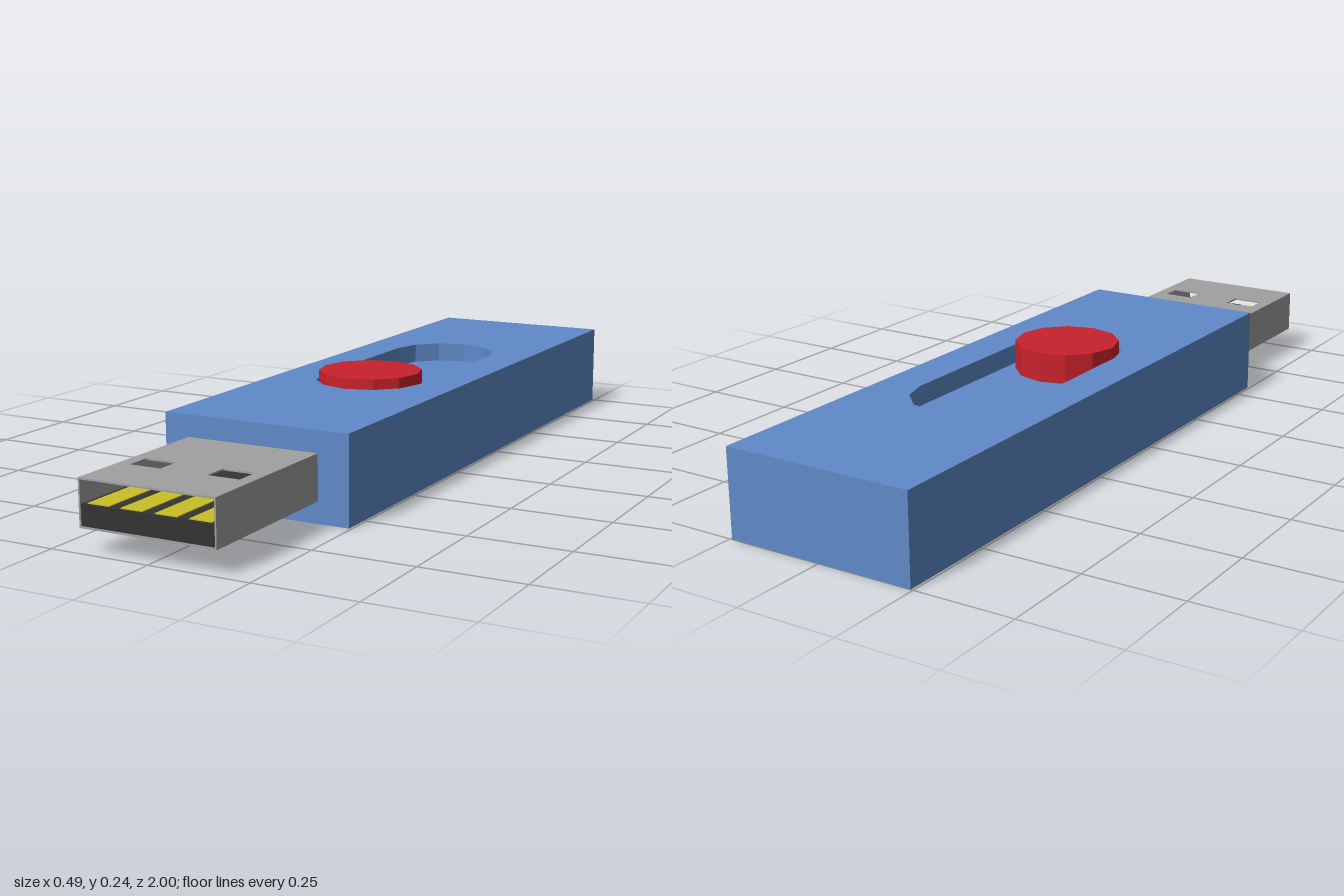
import * as THREE from 'three';
import { mergeGeometries } from 'three/addons/utils/BufferGeometryUtils.js';

const material = (name, color, side = THREE.FrontSide) => {
  const m = new THREE.MeshStandardMaterial({ color, side, flatShading: true });
  m.name = name;
  return m;
};

// Rectangle outline, usable as a shape or a hole
function rect(x0, y0, x1, y1) {
  return new THREE.Shape([[x0, y0], [x1, y0], [x1, y1], [x0, y1]].map(p => new THREE.Vector2(...p)));
}

// Outline of the slider slot: two six-sided half rounds; shape y is -z
function slotPoints(r, length) {
  const pts = [];
  for (let i = 0; i <= 6; i++) {
    const a = (i * Math.PI) / 6;
    pts.push(new THREE.Vector2(r * Math.cos(a), length + r * Math.sin(a)));
  }
  for (let i = 6; i <= 12; i++) {
    const a = (i * Math.PI) / 6;
    pts.push(new THREE.Vector2(r * Math.cos(a), r * Math.sin(a)));
  }
  return pts;
}

// Block with a sunken slot: open-topped box, pierced top, slot wall and slot floor
function bodyGeometry(halfW, top, floor, z0, z1) {
  const box = new THREE.BoxGeometry(2 * halfW, top, z1 - z0).translate(0, top / 2, (z0 + z1) / 2);
  const index = Array.from(box.index.array);
  index.splice(12, 6); // leave out the upper face
  box.setIndex(index);

  const slot = slotPoints(0.14, 0.44);
  const lid = rect(-halfW, -z1, halfW, -z0);
  lid.holes.push(new THREE.Path(slot));
  const topFace = new THREE.ShapeGeometry(lid).rotateX(-Math.PI / 2).translate(0, top, 0);
  const floorFace = new THREE.ShapeGeometry(new THREE.Shape(slot)).rotateX(-Math.PI / 2).translate(0, floor, 0);

  const pos = [];
  slot.forEach((p, i) => {
    const q = slot[(i + 1) % slot.length];
    const a = [p.x, floor, -p.y], b = [q.x, floor, -q.y];
    const c = [q.x, top, -q.y], d = [p.x, top, -p.y];
    pos.push(...a, ...c, ...b, ...a, ...d, ...c); // facing into the slot
  });
  const wall = new THREE.BufferGeometry();
  wall.setAttribute('position', new THREE.Float32BufferAttribute(pos, 3));

  const parts = [box, topFace, floorFace, wall].map(g => {
    const n = g.index ? g.toNonIndexed() : g;
    n.deleteAttribute('uv');
    n.computeVertexNormals();
    return n;
  });
  return mergeGeometries(parts);
}

export function createModel() {
  const model = new THREE.Group();
  const blue = material('blue plastic', 0x5f8ac8);
  const red = material('red plastic', 0xc9222c);
  const grey = material('grey metal', 0xa0a0a0);
  const black = material('black plastic', 0x343434);
  const gold = material('gold contact', 0xcabf26);

  const add = (name, geometry, mat, parent = model) => {
    const mesh = new THREE.Mesh(geometry, mat);
    mesh.name = name;
    parent.add(mesh);
    return mesh;
  };

  // Casing and slider button
  const bodyTop = 0.218, slotFloor = 0.168, buttonTop = 0.243;
  add('casing', bodyGeometry(0.244, bodyTop, slotFloor, -1, 0.57), blue);
  const buttonH = buttonTop - slotFloor;
  add('sliderButton', new THREE.CylinderGeometry(0.133, 0.133, buttonH, 12)
    .translate(0, slotFloor + buttonH / 2, 0), red);

  // Plug: thin metal sleeve, open at both ends
  const plug = new THREE.Group();
  plug.name = 'plug';
  model.add(plug);
  const w = 0.172, y0 = 0.057, y1 = 0.168, t = 0.004, back = 0.583, front = 1;
  const channel = new THREE.Shape([
    [-w, y0], [w, y0], [w, y1 - t], [w - t, y1 - t],
    [w - t, y0 + t], [-w + t, y0 + t], [-w + t, y1 - t], [-w, y1 - t],
  ].map(p => new THREE.Vector2(...p)));
  add('sleeveChannel', new THREE.ExtrudeGeometry(channel, { depth: front - back, bevelEnabled: false })
    .translate(0, 0, back), grey, plug);

  // Sleeve top with two latch windows
  const roof = rect(-w, -front, w, -back);
  for (const s of [-1, 1]) roof.holes.push(rect(s * 0.1 - 0.04, -0.858, s * 0.1 + 0.04, -0.796));
  add('sleeveTop', new THREE.ExtrudeGeometry(roof, { depth: t, bevelEnabled: false })
    .rotateX(-Math.PI / 2).translate(0, y1 - t, 0), grey, plug);

  // Tongue with four contacts
  const tongueTop = 0.11, tongueH = tongueTop - y0 - t;
  add('tongue', new THREE.BoxGeometry(2 * (w - t), tongueH, 0.413)
    .translate(0, tongueTop - tongueH / 2, 0.7905), black, plug);
  for (const x of [-0.128, -0.043, 0.043, 0.128]) {
    add('contact', new THREE.BoxGeometry(0.056, 0.002, 0.3).translate(x, tongueTop + 0.001, 0.84), gold, plug);
  }
  return model;
}
